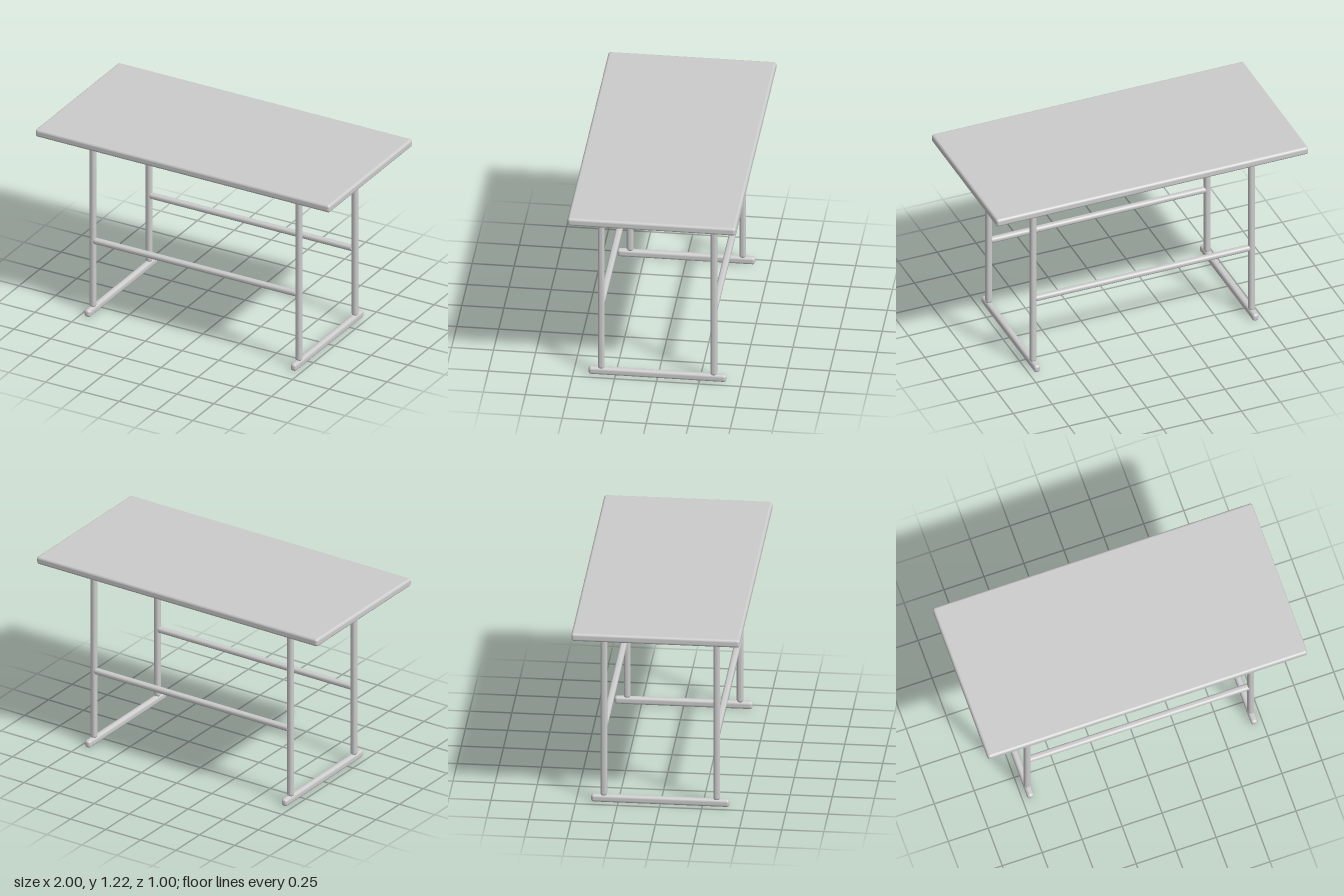
import * as THREE from 'three';
import { RoundedBoxGeometry } from 'three/addons/geometries/RoundedBoxGeometry.js';

export function createModel() {
  const group = new THREE.Group();
  const material = new THREE.MeshStandardMaterial({ color: 0xcccccc });

  // Soft-edged bar, sized and centred
  function addBar(name, [w, h, d], [x, y, z], radius) {
    const mesh = new THREE.Mesh(new RoundedBoxGeometry(w, h, d, 4, radius), material);
    mesh.name = name;
    mesh.position.set(x, y, z);
    group.add(mesh);
  }

  addBar('tabletop', [2, 0.05, 1], [0, 1.19, 0], 0.016);

  const legX = 0.7, legZ = 0.335;
  for (const sx of [1, -1]) {
    const side = sx > 0 ? 'left' : 'right';
    // Floor runner joining the two legs of each end
    addBar(side + 'Foot', [0.04, 0.048, 0.82], [sx * legX, 0.024, 0], 0.017);
    for (const sz of [1, -1]) {
      const end = sz > 0 ? 'Front' : 'Back';
      addBar(side + end + 'Leg', [0.04, 1.12, 0.04], [sx * legX, 0.6, sz * legZ], 0.017);
    }
  }

  // Long rails between the legs, front and back
  for (const sz of [1, -1]) {
    addBar(sz > 0 ? 'frontRail' : 'backRail', [1.39, 0.036, 0.04], [0, 0.482, sz * legZ], 0.016);
  }

  return group;
}
